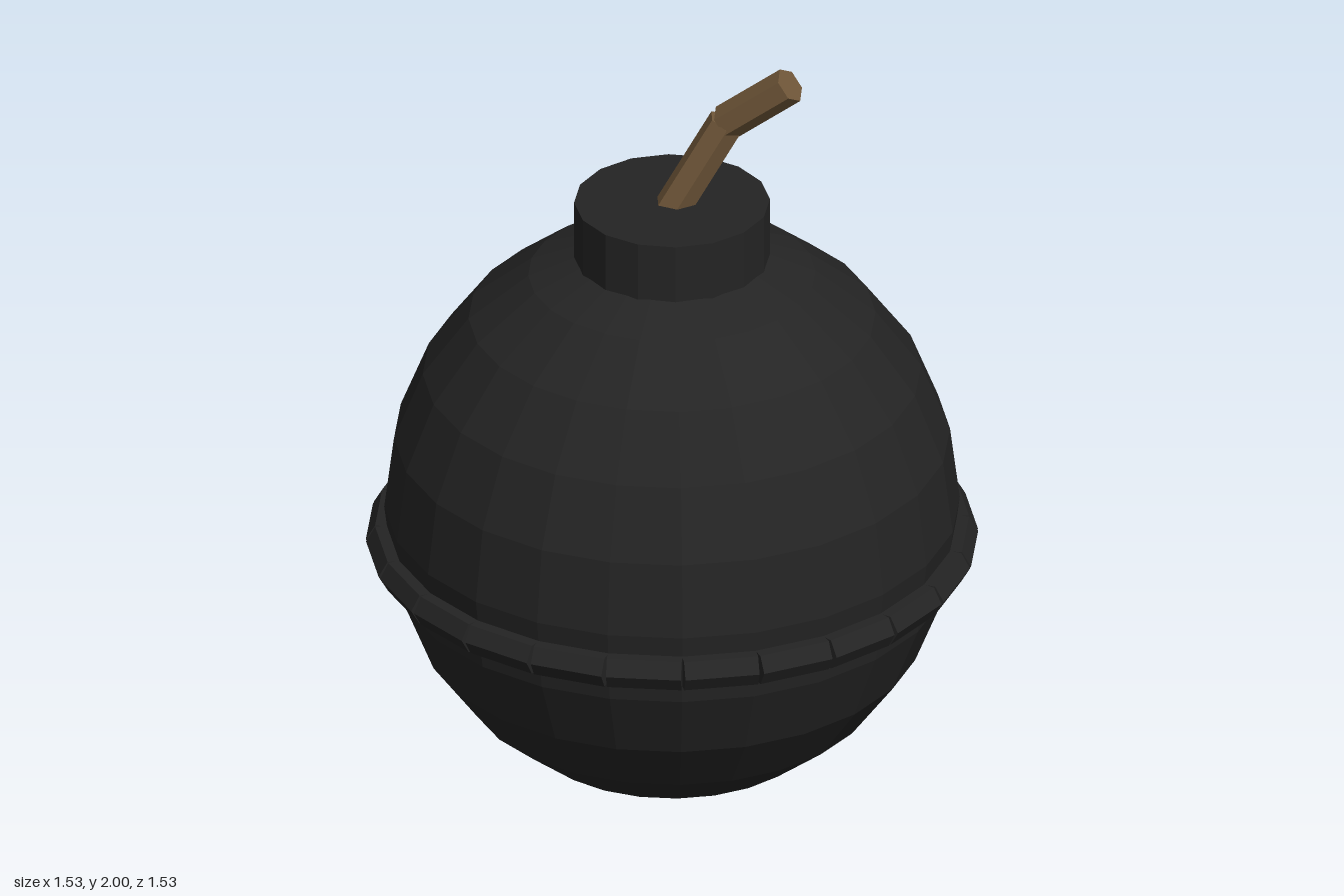
import * as THREE from 'three';

export function createModel() {
  const model = new THREE.Group();
  model.name = 'bomb';
  const iron = new THREE.MeshStandardMaterial({ color: 0x242424, flatShading: true });
  iron.name = 'black iron';
  const rope = new THREE.MeshStandardMaterial({ color: 0x705739, flatShading: true });
  rope.name = 'brown fuse';

  function add(name, geometry, material, parent = model) {
    const mesh = new THREE.Mesh(geometry, material);
    mesh.name = name;
    parent.add(mesh);
    return mesh;
  }

  // Faceted body, slightly taller than wide
  const bodyRadius = 0.72, sides = 24;
  const body = add('body', new THREE.SphereGeometry(0.75, sides, 12), iron);
  body.scale.set(bodyRadius / 0.75, 1, bodyRadius / 0.75);
  body.position.y = 0.755;

  // Neck on top
  add('neck', new THREE.CylinderGeometry(0.245, 0.245, 0.16, 16), iron).position.y = 1.53;

  // Seam made of straight six-sided rods laid end to end
  const seam = new THREE.Group();
  seam.name = 'seam';
  seam.position.y = 0.66;
  model.add(seam);
  const half = Math.PI / sides;
  const rod = new THREE.CylinderGeometry(0.046, 0.046, 2 * bodyRadius * Math.sin(half), 6);
  rod.rotateZ(Math.PI / 2).translate(0, 0, bodyRadius * Math.cos(half));
  for (let i = 0; i < sides; i++) {
    add('seamRod', rod, iron, seam).rotation.y = (2 * i + 1) * half;
  }

  // Bent fuse in two lengths
  const fuse = new THREE.Group();
  fuse.name = 'fuse';
  model.add(fuse);
  function fuseLength(name, from, to) {
    const a = new THREE.Vector3(...from), b = new THREE.Vector3(...to);
    const mesh = add(name, new THREE.CylinderGeometry(0.047, 0.047, a.distanceTo(b), 6), rope, fuse);
    mesh.position.copy(a).add(b).multiplyScalar(0.5);
    mesh.quaternion.setFromUnitVectors(new THREE.Vector3(0, 1, 0), b.sub(a).normalize());
  }
  fuseLength('lowerFuse', [0, 1.59, 0], [0.135, 1.83, 0]);
  fuseLength('upperFuse', [0.135, 1.83, 0], [0.293, 1.968, 0.065]);

  return model;
}
